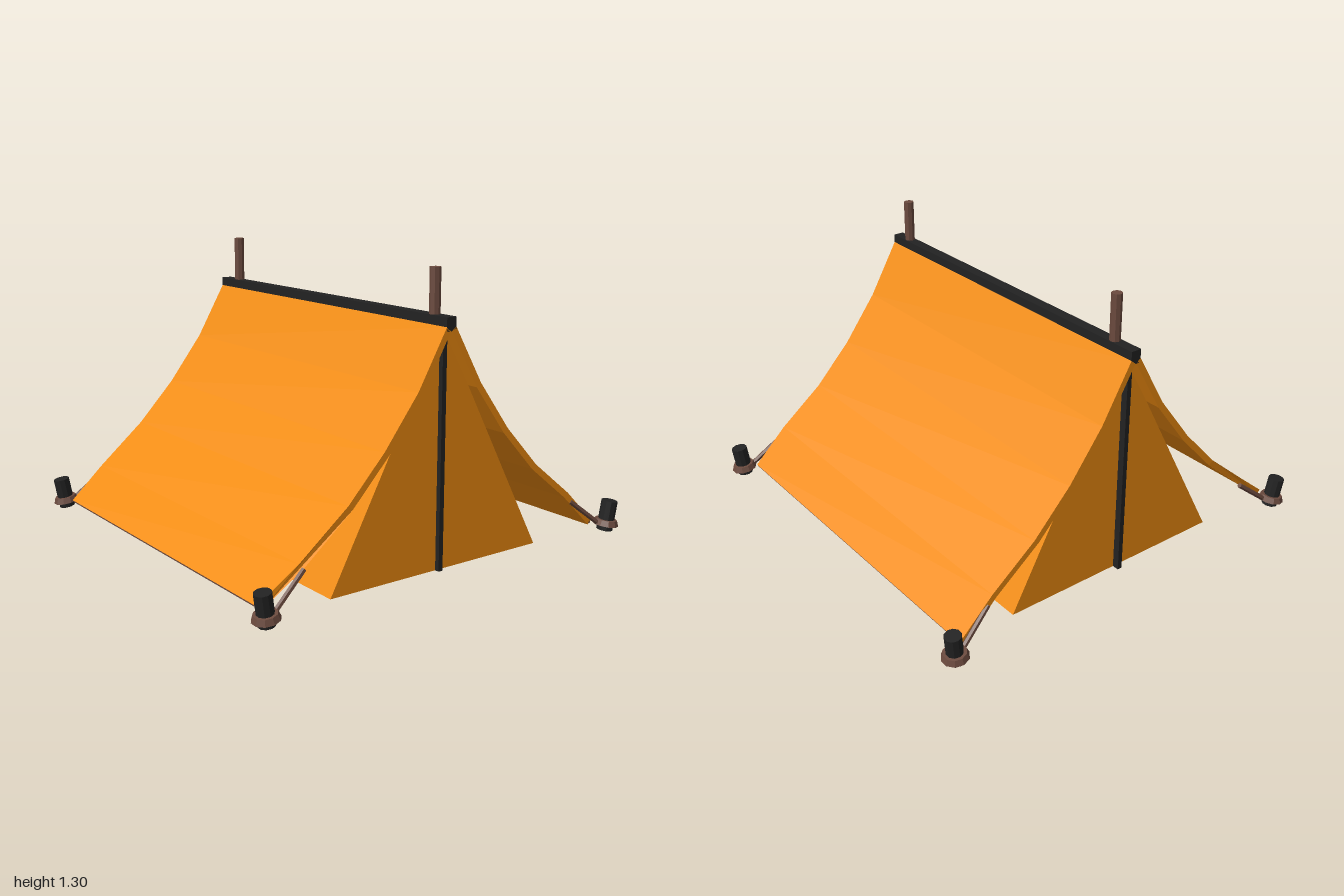
import * as THREE from 'three';

const mat = (color) => new THREE.MeshStandardMaterial({ color, flatShading: true });

export function createModel() {
  const tent = new THREE.Group();
  tent.name = 'tent';
  const canvas = mat(0xf08c10), black = mat(0x222222), brown = mat(0x6b4a3e);

  const add = (name, geometry, material, x = 0, y = 0, z = 0, parent = tent) => {
    const mesh = new THREE.Mesh(geometry, material);
    mesh.name = name;
    mesh.position.set(x, y, z);
    parent.add(mesh);
    return mesh;
  };
  const prism = (points, z0, z1) => {
    const shape = new THREE.Shape(points.map(([x, y]) => new THREE.Vector2(x, y)));
    return new THREE.ExtrudeGeometry(shape, { depth: z1 - z0, bevelEnabled: false }).translate(0, 0, z0);
  };
  // straight cord between two points
  const cord = (name, a, b, r, material) => {
    const p = new THREE.Vector3(...a), q = new THREE.Vector3(...b);
    const mesh = add(name, new THREE.CylinderGeometry(r, r, p.distanceTo(q), 6), material);
    mesh.position.copy(p).add(q).multiplyScalar(0.5);
    mesh.quaternion.setFromUnitVectors(new THREE.Vector3(0, 1, 0), q.sub(p).normalize());
  };

  // inner tent with closed floor
  add('innerTent', prism([[-0.58, 0], [0.56, 0], [-0.01, 1.05]], -0.8, 0.82), canvas);

  // sagging outer sheets: outer profile from ridge to hem, then back along the inside
  const outer = {
    right: [[0.015, 1.05], [0.16, 0.80], [0.325, 0.58], [0.505, 0.39], [0.72, 0.22], [0.885, 0.06]],
    left: [[-0.035, 1.05], [-0.18, 0.80], [-0.35, 0.58], [-0.53, 0.39], [-0.76, 0.20], [-0.935, 0.06]],
  };
  for (const [side, points] of Object.entries(outer)) {
    const s = side === 'right' ? 1 : -1;
    const inner = points.map(([x, y]) => [x - s * 0.023, y - 0.018]).reverse();
    const geometry = prism([...points, ...inner], -0.87, 0.87);
    // the left sheet's corners are pulled in towards the hem
    if (s < 0) {
      const pos = geometry.attributes.position;
      for (let i = 0; i < pos.count; i++) {
        const pull = Math.max(0, -0.72 - pos.getX(i)) * 0.18;
        pos.setZ(i, pos.getZ(i) - Math.sign(pos.getZ(i)) * pull);
      }
    }
    add(side === 'right' ? 'leftFlySheet' : 'rightFlySheet', geometry, canvas);
    const [hx, hy] = points[points.length - 1];
    const hz = s < 0 ? 0.83 : 0.87;
    cord('hemCord', [hx - s * 0.012, hy - 0.006, -hz], [hx - s * 0.012, hy - 0.006, hz], 0.008, brown);
  }

  // ridge beam and pole tips
  add('ridgeBeam', new THREE.BoxGeometry(0.05, 0.06, 1.74), black, -0.01, 1.06, 0);
  for (const [z, top] of [[0.765, 1.285], [-0.742, 1.30]]) {
    add('poleTip', new THREE.CylinderGeometry(0.024, 0.024, top - 1.03, 8), brown, -0.01, (top + 1.03) / 2, z);
  }

  // door strips on both gables
  for (const z of [0.825, -0.815]) {
    add('doorStrip', new THREE.BoxGeometry(0.022, 1.05, 0.034), black, -0.018, 0.525, z);
  }

  // tilted pegs with collars, tied to the sheet corners
  for (const [x, y, z] of [[0.935, 0.055, 0.915], [0.94, 0.062, -0.915], [-0.945, 0.05, 0.91], [-0.94, 0.055, -0.9]]) {
    const sx = Math.sign(x), sz = Math.sign(z);
    const peg = new THREE.Group();
    peg.name = 'peg';
    peg.position.set(x, y, z);
    peg.rotation.set(sz * 0.06, 0, sx < 0 ? 0.17 : -0.13);
    add('pegCollar', new THREE.CylinderGeometry(0.05, 0.06, 0.026, 10), brown, 0, 0, 0, peg);
    add('pegShaft', new THREE.CylinderGeometry(0.037, 0.037, 0.14, 10), black, 0, 0.032, 0, peg);
    tent.add(peg);
    cord('guyStrap', [sx * 0.74, 0.175, sz * 0.865], [x - sx * 0.045, y, z - sz * 0.01], 0.012, brown);
  }
  return tent;
}
